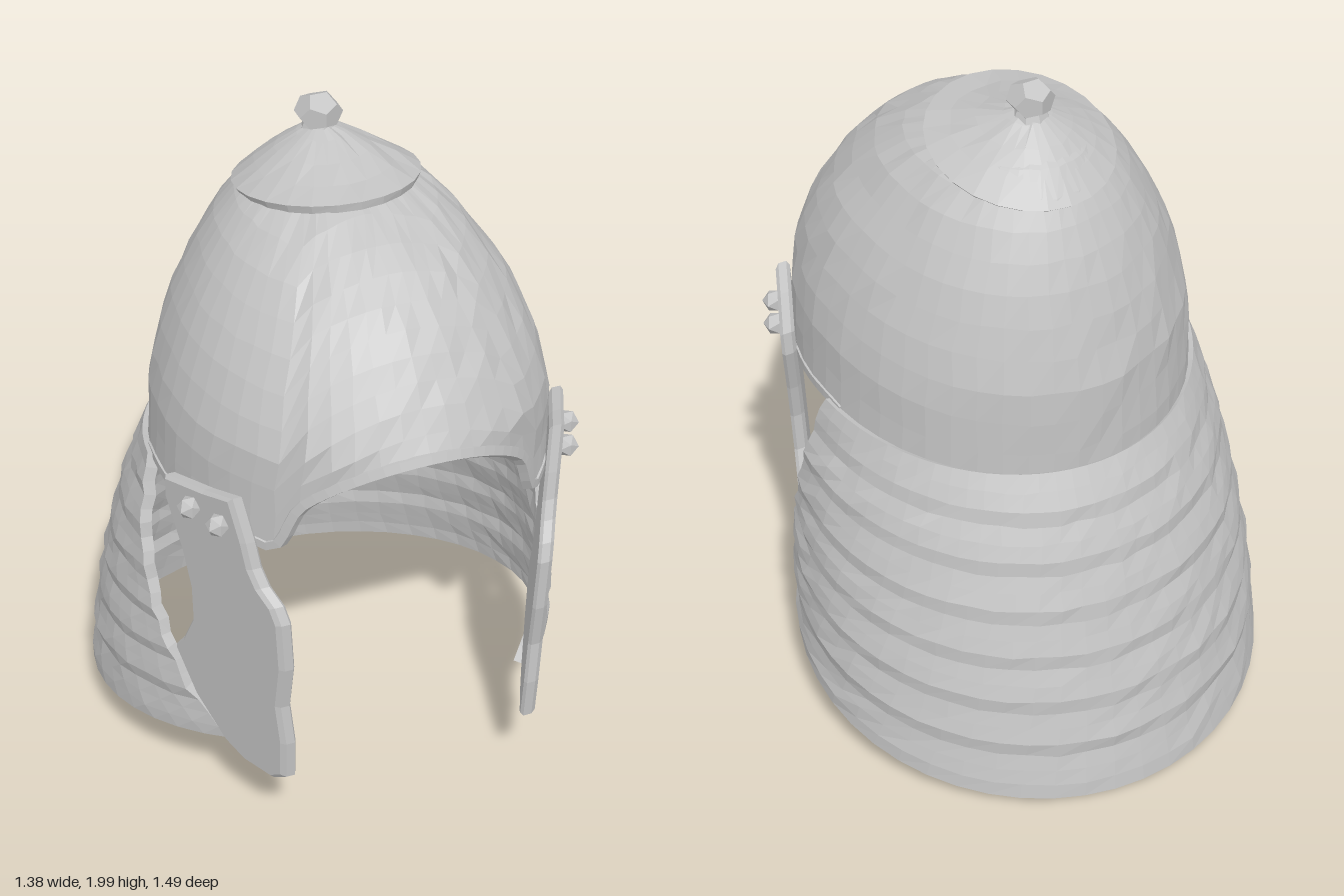
import * as THREE from 'three';

const steel = new THREE.MeshStandardMaterial({ color: 0xc4c4c4 });
steel.name = 'steel grey';

// Piecewise linear lookup; rows are [key, value, value, ...] with rising keys
function lookup(rows, k) {
  let i = 0;
  while (i < rows.length - 2 && k > rows[i + 1][0]) i++;
  const a = rows[i], b = rows[i + 1];
  const t = THREE.MathUtils.clamp((k - a[0]) / (b[0] - a[0]), 0, 1);
  return a.slice(1).map((v, j) => v + (b[j + 1] - v) * t);
}

// Small repeatable unevenness for the hammered surface
let seed = 7;
function jitter(size) {
  seed = (seed * 16807) % 2147483647;
  return (seed / 2147483647 - 0.5) * size;
}

function facet(geo) {
  const g = geo.index ? geo.toNonIndexed() : geo;
  g.computeVertexNormals();
  return g;
}

// Thick sheet from a grid of points: outer face, inner face and closed edges
function shell(point, nu, nv, thickness, closed) {
  const cols = closed ? nu : nu + 1;
  const pos = [], idx = [];
  const id = (u, v) => v * cols + (u % cols);
  for (let v = 0; v <= nv; v++) {
    for (let u = 0; u < cols; u++) {
      const p = point(u / nu, v / nv);
      if (v > 0 && v < nv) p.addScalar(jitter(0.007));
      pos.push(p.x, p.y, p.z);
    }
  }
  for (let v = 0; v < nv; v++) {
    for (let u = 0; u < nu; u++) {
      const a = id(u, v), b = id(u, v + 1), c = id(u + 1, v + 1), d = id(u + 1, v);
      idx.push(a, b, d, b, c, d);
    }
  }
  const outer = new THREE.BufferGeometry();
  outer.setAttribute('position', new THREE.Float32BufferAttribute(pos, 3));
  outer.setIndex(idx);
  outer.computeVertexNormals();
  const n = outer.attributes.normal.array, count = pos.length / 3;
  const all = pos.concat(pos.map((v, i) => v - n[i] * thickness));
  const faces = idx.slice();
  for (let i = 0; i < idx.length; i += 3) faces.push(idx[i] + count, idx[i + 2] + count, idx[i + 1] + count);
  const wall = (a, b) => faces.push(a, a + count, b, b, a + count, b + count);
  for (let u = 0; u < nu; u++) {
    wall(id(u, nv), id(u + 1, nv));
    wall(id(u + 1, 0), id(u, 0));
  }
  if (!closed) {
    for (let v = 0; v < nv; v++) {
      wall(id(0, v), id(0, v + 1));
      wall(id(nu, v + 1), id(nu, v));
    }
  }
  const g = new THREE.BufferGeometry();
  g.setAttribute('position', new THREE.Float32BufferAttribute(all, 3));
  g.setIndex(faces);
  return facet(g);
}

// Bowl sections: height, half width, front z, back z
const bowlRows = [
  [0.94, 0.555, 0.74, -0.47], [1.25, 0.54, 0.74, -0.465], [1.36, 0.515, 0.745, -0.44],
  [1.5, 0.46, 0.66, -0.405], [1.6, 0.405, 0.585, -0.365], [1.7, 0.335, 0.48, -0.315],
  [1.8, 0.235, 0.31, -0.25], [1.86, 0.12, 0.1, -0.17], [1.9, 0, -0.08, -0.08],
];
function bowlAt(angle, y) {
  const [w, zf, zb] = lookup(bowlRows, y);
  return new THREE.Vector3(w * Math.sin(angle), y, (zf + zb) / 2 + (zf - zb) / 2 * Math.cos(angle));
}
// Lower edge of the bowl: an arch over the face, then sloping to the nape
function rimHeight(angle) {
  const x = Math.abs(0.56 * Math.sin(angle)), z = 0.135 + 0.605 * Math.cos(angle);
  if (Math.cos(angle) > 0 && x < 0.383) return 1.06 + 0.3 * Math.pow(1 - (x / 0.383) ** 2, 0.55);
  return Math.min(1.06, 0.95 + 0.2 * (z + 0.47));
}

// Neck guard sections: v, half width, back z, centre z, front edge z
const guardRows = [
  [0, 0.565, -0.475, 0.13, 0.07], [0.08, 0.58, -0.52, 0.1, 0.09], [0.2, 0.61, -0.565, 0.06, 0.11],
  [0.4, 0.64, -0.625, 0, 0.17], [0.65, 0.67, -0.685, -0.04, 0.26], [0.82, 0.685, -0.715, -0.06, 0.33],
  [1, 0.69, -0.74, -0.08, 0.42],
];
function guardAt(u, v) {
  const [w, zb, c, edge] = lookup(guardRows, v);
  const d = c - zb;
  const phi = (u * 2 - 1) * Math.acos((c - edge) / d);
  const band = v > 0.08 && v < 0.99 ? 0.014 * ((v * 7) % 1 - 0.6) : 0;
  const z = c - (d + band) * Math.cos(phi);
  const top = 1 + (z + 0.47) * 0.12, bottom = 0.01 + (z + 0.74) * 0.222;
  return new THREE.Vector3(-(w + band) * Math.sin(phi), top + (bottom - top) * v, z);
}

// Cheek piece outline as [z, y]
const cheekOutline = [
  [0.53, 1.21], [0.43, 1.18], [0.29, 1.15], [0.285, 1.08], [0.33, 0.92], [0.35, 0.8],
  [0.345, 0.68], [0.3, 0.58], [0.265, 0.53], [0.33, 0.39], [0.43, 0.28], [0.5, 0.25], [0.6, 0.255],
  [0.645, 0.29], [0.655, 0.42], [0.645, 0.55], [0.67, 0.7], [0.67, 0.86], [0.65, 0.91], [0.605, 0.95],
  [0.58, 1], [0.565, 1.08],
];
const cheekX = (z, y) => 0.585 - 0.46 * (z - 0.28) - 0.05 * (1 - y);

function cheekGeometry(side) {
  const shape = new THREE.Shape(cheekOutline.map(([z, y]) => new THREE.Vector2(z, y)));
  const g = new THREE.ExtrudeGeometry(shape, {
    depth: 0.025, bevelEnabled: true, bevelThickness: 0.01, bevelSize: 0.01, bevelOffset: -0.01, bevelSegments: 1,
  });
  const p = g.attributes.position;
  for (let i = 0; i < p.count; i++) {
    const z = p.getX(i), y = p.getY(i), out = p.getZ(i) - 0.035;
    p.setXYZ(i, side * (cheekX(z, y) + out), y, z);
  }
  // One side needs its corner order reversed
  if (side > 0) {
    const a = new THREE.Vector3(), b = new THREE.Vector3();
    for (let i = 0; i < p.count; i += 3) {
      a.fromBufferAttribute(p, i + 1);
      b.fromBufferAttribute(p, i + 2);
      p.setXYZ(i + 1, b.x, b.y, b.z);
      p.setXYZ(i + 2, a.x, a.y, a.z);
    }
  }
  return facet(g);
}

export function createModel() {
  const helmet = new THREE.Group();
  helmet.name = 'helmet';
  const add = (name, geo) => {
    const m = new THREE.Mesh(geo, steel);
    m.name = name;
    helmet.add(m);
    return m;
  };

  add('bowl', shell((u, v) => {
    const angle = u * Math.PI * 2;
    return bowlAt(angle, 1.9 - (1.9 - rimHeight(angle)) * Math.pow(v, 1.35));
  }, 50, 12, 0.035, true));

  // Rolled lip along the face opening and over the ears
  const lip = [];
  for (let i = -14; i <= 14; i++) {
    const angle = i / 50 * Math.PI * 2;
    const p = bowlAt(angle, rimHeight(angle));
    lip.push(p.add(new THREE.Vector3(-Math.sin(angle), 0, -Math.cos(angle)).multiplyScalar(0.014)));
  }
  add('rimLip', facet(new THREE.TubeGeometry(new THREE.CatmullRomCurve3(lip), 56, 0.022, 5, false)));

  add('neckGuard', shell(guardAt, 36, 21, 0.035, false));

  // Round plate on the crown, tilted back
  add('crownPlate', shell((u, v) => {
    const a = u * Math.PI * 2;
    const z = -0.08 + v * 0.05 + 0.27 * v * Math.cos(a);
    const rim = 1.79 + 0.22 * (z + 0.03);
    return new THREE.Vector3(0.255 * v * Math.sin(a), 1.925 + (rim - 1.925) * Math.pow(v, 1.2), z);
  }, 24, 4, 0.025, true));

  const knob = add('finial', new THREE.DodecahedronGeometry(0.066));
  knob.scale.y = 0.82;
  knob.position.set(0, 1.948, -0.085);
  const neck = add('finialNeck', facet(new THREE.CylinderGeometry(0.035, 0.055, 0.05, 8)));
  neck.position.set(0, 1.91, -0.085);

  for (const [side, label] of [[1, 'left'], [-1, 'right']]) {
    add(label + 'CheekPiece', cheekGeometry(side));
    for (const z of [0.5, 0.4]) {
      const rivet = add(label + 'Rivet', new THREE.IcosahedronGeometry(0.034));
      rivet.position.set(side * (cheekX(z, 1.11) + 0.015), 1.11, z);
    }
  }
  return helmet;
}
